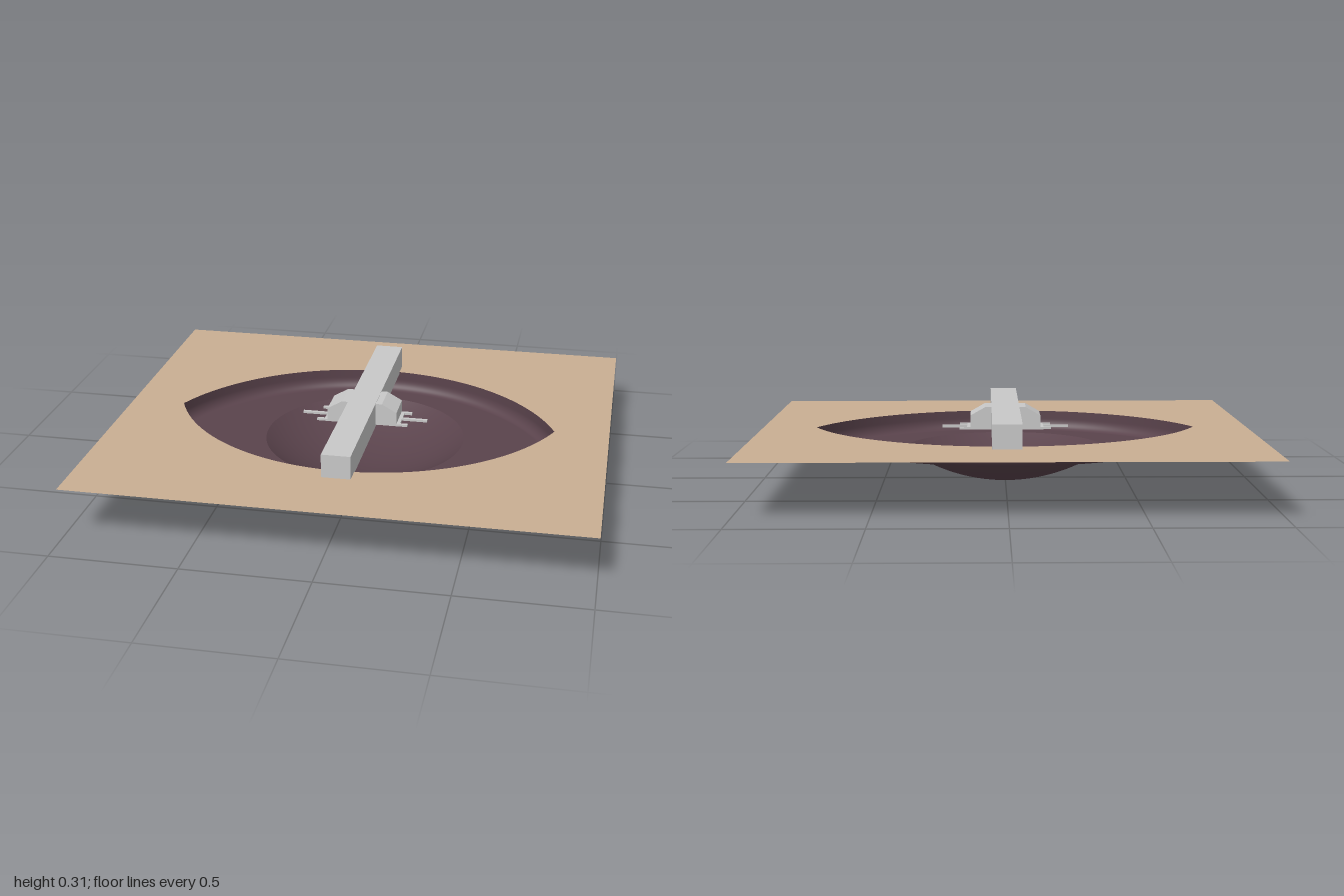
import * as THREE from 'three';
import { ParametricGeometry } from 'three/addons/geometries/ParametricGeometry.js';

const TOP = 0.212, FLOOR = 0.13;        // heights of the sheet and the basin floor
const R = 0.845, OFF = 0.325;           // lens = two arcs of radius R, centres OFF from the middle
const BOWL_R = 0.41;

// Lens outline made from two arcs meeting at pointed tips
function lensPoints(r, n = 48) {
  const a = Math.acos(OFF / r), pts = [];
  for (const s of [1, -1]) {
    for (let i = 0; i < n; i++) {
      const t = a - (2 * a * i) / n;
      pts.push(new THREE.Vector2(s * r * Math.sin(t), s * (r * Math.cos(t) - OFF)));
    }
  }
  return pts;
}

export function createModel() {
  const group = new THREE.Group();
  const mat = (name, color, side = THREE.FrontSide) => {
    const m = new THREE.MeshStandardMaterial({ color, side });
    m.name = name;
    return m;
  };
  const tan = mat('tan', 0xc9ae92, THREE.DoubleSide);
  const plum = mat('plum', 0x5a434c, THREE.DoubleSide);
  const grey = mat('grey', 0xc8c8c8);

  const add = (name, geometry, material, x = 0, y = 0, z = 0) => {
    const mesh = new THREE.Mesh(geometry, material);
    mesh.name = name;
    mesh.position.set(x, y, z);
    group.add(mesh);
    return mesh;
  };

  // Flat sheet with the lens-shaped opening
  const sheet = new THREE.Shape([
    new THREE.Vector2(-1, -0.873), new THREE.Vector2(1, -0.873),
    new THREE.Vector2(1, 0.873), new THREE.Vector2(-1, 0.873),
  ]);
  sheet.holes.push(new THREE.Path(lensPoints(R)));
  add('sheet', new THREE.ShapeGeometry(sheet).rotateX(-Math.PI / 2), tan, 0, TOP);

  // Basin walls: straight at the rim, rounding inwards to the floor
  const wall = new ParametricGeometry((u, v, target) => {
    const k = Math.max(0, (v - 0.3) / 0.7) * Math.PI / 2;
    const r = R - 0.035 * (1 - Math.cos(k));
    const y = v < 0.3 ? TOP - (v / 0.3) * 0.035 : 0.177 - 0.047 * Math.sin(k);
    const t = (2 * u - 1) * Math.acos(OFF / r);
    target.set(r * Math.sin(t), y, r * Math.cos(t) - OFF);
  }, 48, 16);
  add('frontWall', wall, plum);
  add('backWall', wall, plum).rotation.y = Math.PI;

  // Basin floor around the bowl
  const floor = new THREE.Shape(lensPoints(R - 0.035));
  floor.holes.push(new THREE.Path().absarc(0, 0, BOWL_R, 0, Math.PI * 2, true));
  add('basinFloor', new THREE.ShapeGeometry(floor, 32).rotateX(-Math.PI / 2), plum, 0, FLOOR);

  // Shallow spherical bowl
  const sphereR = (BOWL_R ** 2 + FLOOR ** 2) / (2 * FLOOR);
  const angle = Math.asin(BOWL_R / sphereR);
  const bowl = [];
  for (let i = 0; i <= 16; i++) {
    const a = (angle * i) / 16;
    bowl.push(new THREE.Vector2(sphereR * Math.sin(a), sphereR * (1 - Math.cos(a))));
  }
  add('bowl', new THREE.LatheGeometry(bowl, 64), plum);

  // Long beam across the basin
  add('beam', new THREE.BoxGeometry(0.114, 0.102, 1.17), grey, 0, 0.255, 0);

  // Chamfered hub block crossing the beam
  const hub = new THREE.Shape([
    [-0.143, 0.212], [0.143, 0.212], [0.143, 0.27],
    [0.083, 0.304], [-0.083, 0.304], [-0.143, 0.27],
  ].map(([x, y]) => new THREE.Vector2(x, y)));
  const hubGeo = new THREE.ExtrudeGeometry(hub, { depth: 0.136, bevelEnabled: false });
  add('hub', hubGeo.translate(0, 0, -0.068), grey);

  // Thin flat brackets on both sides of the hub
  for (const s of [1, -1]) {
    add('bracketPlate', new THREE.BoxGeometry(0.02, 0.009, 0.136), grey, s * 0.147, 0.2165, 0);
    add('bracketBar', new THREE.BoxGeometry(0.12, 0.009, 0.014), grey, s * 0.2, 0.2165, 0);
    for (const z of [1, -1]) {
      add('bracketProng', new THREE.BoxGeometry(0.05, 0.009, 0.014), grey, s * 0.163, 0.2165, z * 0.061);
    }
  }
  return group;
}
